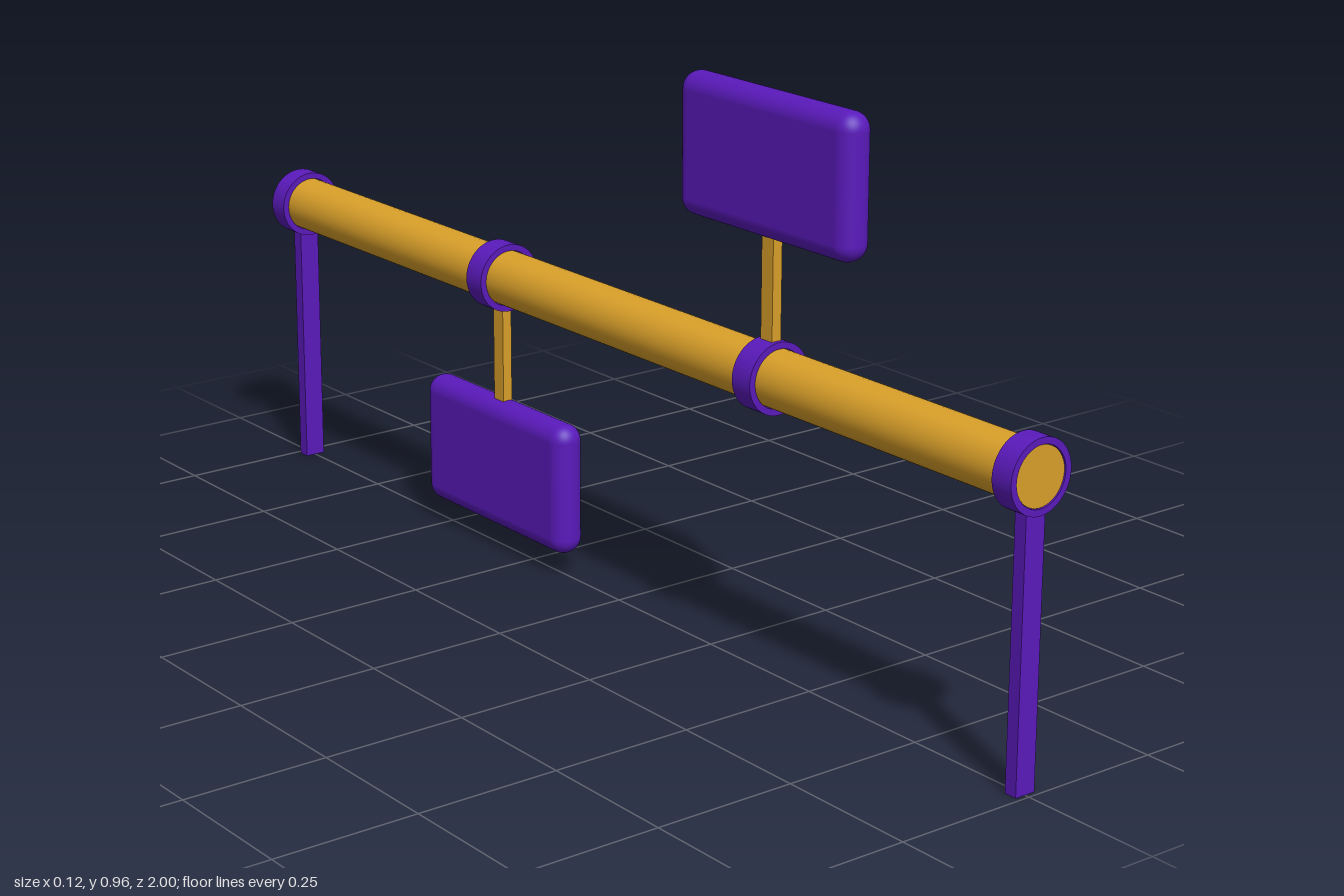
import * as THREE from 'three';
import { RoundedBoxGeometry } from 'three/addons/geometries/RoundedBoxGeometry.js';

const BAR_Y = 0.501, BAR_R = 0.048, RING_R = 0.06;

export function createModel() {
  const model = new THREE.Group();
  model.name = 'paddleRail';
  const gold = new THREE.MeshStandardMaterial({ color: 0xdaa02a });
  const purple = new THREE.MeshStandardMaterial({ color: 0x5a1abb });

  const add = (name, geometry, material, y, z) => {
    const mesh = new THREE.Mesh(geometry, material);
    mesh.name = name;
    mesh.position.set(0, y, z);
    model.add(mesh);
  };

  // Long horizontal bar
  add('bar', new THREE.CylinderGeometry(BAR_R, BAR_R, 1.996, 40).rotateX(Math.PI / 2), gold, BAR_Y, 0);

  // Collar with a bore slightly wider than the bar
  const collar = (name, z, width) => {
    const shape = new THREE.Shape().absarc(0, 0, RING_R, 0, Math.PI * 2);
    shape.holes.push(new THREE.Path().absarc(0, 0, BAR_R + 0.001, 0, Math.PI * 2, true));
    const ring = new THREE.ExtrudeGeometry(shape, { depth: width, bevelEnabled: false, curveSegments: 40 });
    add(name, ring.translate(0, 0, -width / 2), purple, BAR_Y, z);
  };

  // Both ends: collar and leg
  for (const [name, side] of [['front', 1], ['back', -1]]) {
    collar(name + 'Collar', side * 0.98, 0.04);
    const height = BAR_Y - 0.052;
    add(name + 'Leg', new THREE.BoxGeometry(0.038, height, 0.023), purple, height / 2, side * 0.98);
  }

  // Paddles: one stands up, one hangs down
  for (const [name, dir, z] of [['upper', 1, 0.393], ['lower', -1, -0.337]]) {
    collar(name + 'PaddleCollar', z, 0.044);
    add(name + 'Rod', new THREE.BoxGeometry(0.018, 0.2, 0.028), gold, BAR_Y + dir * 0.15, z);
    add(name + 'Paddle', new RoundedBoxGeometry(0.06, 0.235, 0.415, 6, 0.0295), purple, BAR_Y + dir * 0.343, z);
  }
  return model;
}
